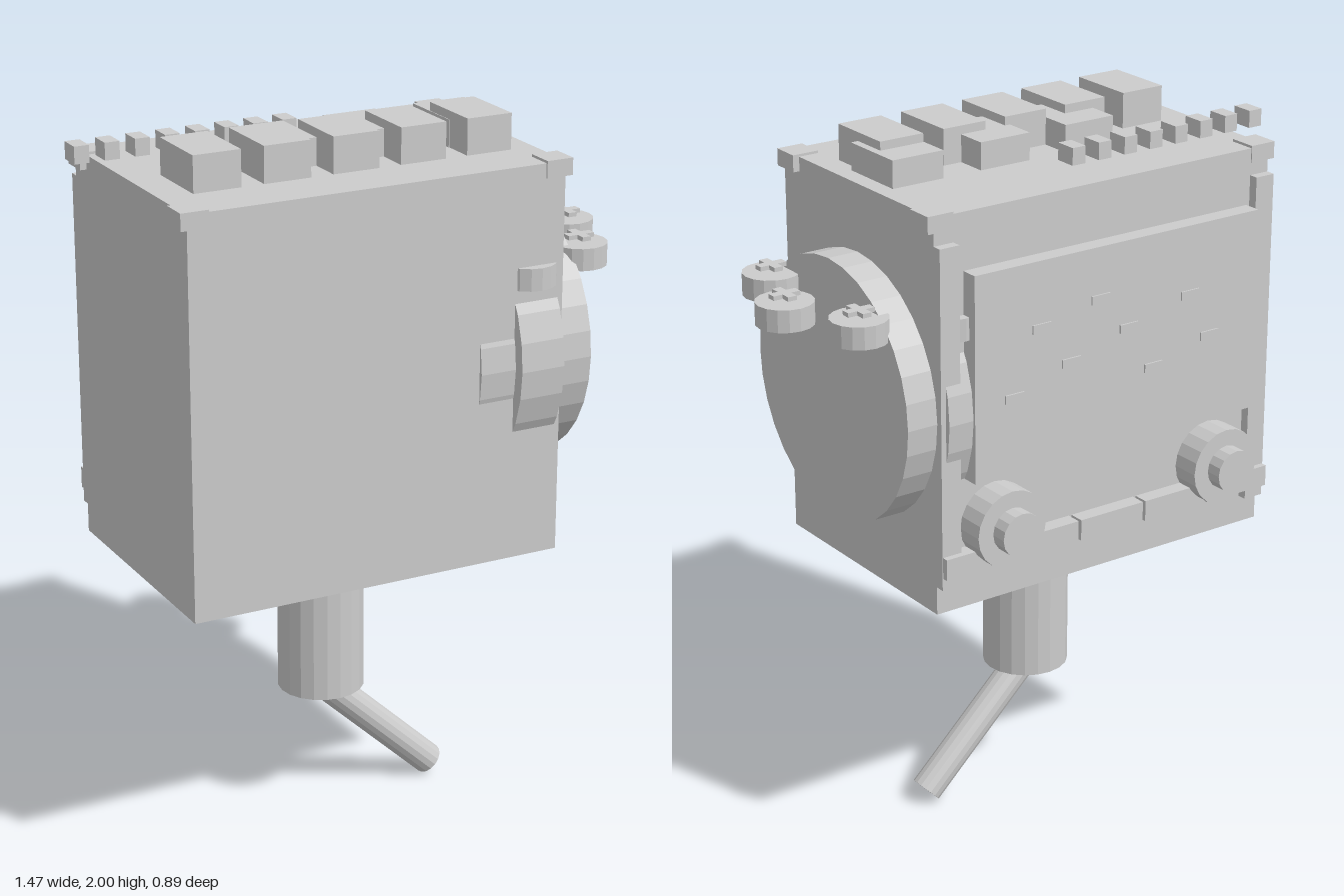
import * as THREE from 'three';

const grey = new THREE.MeshStandardMaterial({ color: 0xcccccc });
grey.name = 'light grey';

export function createModel() {
  const model = new THREE.Group();

  function add(name, geometry, x, y, z, parent = model) {
    const mesh = new THREE.Mesh(geometry, grey);
    mesh.name = name;
    mesh.position.set(x, y, z);
    parent.add(mesh);
    return mesh;
  }
  // box given by its lower and upper limits
  function box(name, x0, x1, y0, y1, z0, z1, parent) {
    return add(name, new THREE.BoxGeometry(x1 - x0, y1 - y0, z1 - z0),
      (x0 + x1) / 2, (y0 + y1) / 2, (z0 + z1) / 2, parent);
  }
  // faceted cylinder along the named axis
  function cylinder(name, radius, length, sides, axis, x, y, z, parent) {
    let g = new THREE.CylinderGeometry(radius, radius, length, sides);
    if (axis === 'x') g.rotateZ(-Math.PI / 2);
    if (axis === 'z') g.rotateX(Math.PI / 2);
    g = g.toNonIndexed();
    g.computeVertexNormals();
    return add(name, g, x, y, z, parent);
  }

  // housing with corner caps
  box('housing', -0.66, 0.43, 0.8, 1.9, -0.315, 0.397);
  for (const x of [-0.64, 0.41])
    for (const z of [-0.278, 0.362])
      box('cornerCap', x - 0.039, x + 0.039, 1.86, 1.907, z - 0.04, z + 0.04);

  // side wheel with a wider rim, partly sunk in the housing
  cylinder('wheel', 0.366, 0.34, 32, 'x', 0.35, 1.347, 0.042);
  cylinder('wheelRim', 0.4, 0.13, 32, 'x', 0.35, 1.347, 0.042);

  // ring of round buttons, each with a raised cross
  for (let i = 0; i < 8; i++) {
    const a = i * Math.PI / 4;
    const button = new THREE.Group();
    button.name = 'ringButton';
    button.position.set(0.35 + 0.305 * Math.cos(a), 1.594, 0.042 + 0.305 * Math.sin(a));
    cylinder('buttonBody', 0.079, 0.062, 16, 'y', 0, 0, 0, button);
    box('crossBarA', -0.04, 0.04, 0.041, 0.053, -0.013, 0.013, button);
    box('crossBarB', -0.013, 0.013, 0.041, 0.053, -0.04, 0.04, button);
    model.add(button);
  }

  // keys on top: five tall, three lower ones behind, eight small floating blocks
  for (let i = 0; i < 5; i++) {
    const x = -0.5 + i * 0.198;
    box('tallKey', x - 0.067, x + 0.067, 1.89, 2, 0.033, 0.235);
  }
  for (let i = 0; i < 3; i++) {
    const x = -0.25 + i * 0.276;
    box('lowKey', x - 0.079, x + 0.079, 1.89, 1.976, -0.057, 0.14);
  }
  for (let i = 0; i < 8; i++) {
    const x = -0.718 + i * 0.0859;
    box('smallBlock', x - 0.021, x + 0.021, 1.91, 1.958, -0.19, -0.126);
  }

  // back panel: screen, side posts, button row
  box('screen', -0.59, 0.34, 1.17, 1.743, -0.365, -0.31);
  box('leftPost', 0.37, 0.43, 0.88, 1.825, -0.342, -0.31);
  box('rightPost', -0.66, -0.6, 0.88, 1.825, -0.342, -0.31);
  for (let i = 0; i < 5; i++) {
    const x = -0.553 + i * 0.219;
    box('panelButton', x - 0.105, x + 0.105, 0.915, 0.975, -0.36, -0.31);
  }

  // small marks on the screen
  const marks = [[0.13, 1.56], [-0.06, 1.6], [0.216, 1.385], [0.034, 1.444],
    [-0.155, 1.5], [-0.36, 1.55], [-0.24, 1.37], [-0.43, 1.42]];
  for (const [x, y] of marks)
    box('screenMark', x - 0.03, x + 0.03, y - 0.012, y + 0.012, -0.37, -0.362);

  // stepped knobs
  for (const x of [-0.477, 0.245]) {
    cylinder('knobBase', 0.109, 0.09, 20, 'z', x, 1.03, -0.353);
    cylinder('knobCap', 0.062, 0.06, 16, 'z', x, 1.03, -0.415);
  }

  // stem and slanted rod
  cylinder('stem', 0.122, 0.455, 20, 'y', -0.117, 0.592, 0.045);
  const start = new THREE.Vector3(-0.117, 0.37, 0.045);
  const end = new THREE.Vector3(0.233, 0.037, 0.045);
  const mid = start.clone().lerp(end, 0.5);
  const rod = cylinder('rod', 0.045, start.distanceTo(end), 16, 'y', mid.x, mid.y, mid.z);
  rod.quaternion.setFromUnitVectors(new THREE.Vector3(0, 1, 0), start.sub(end).normalize());

  return model;
}
